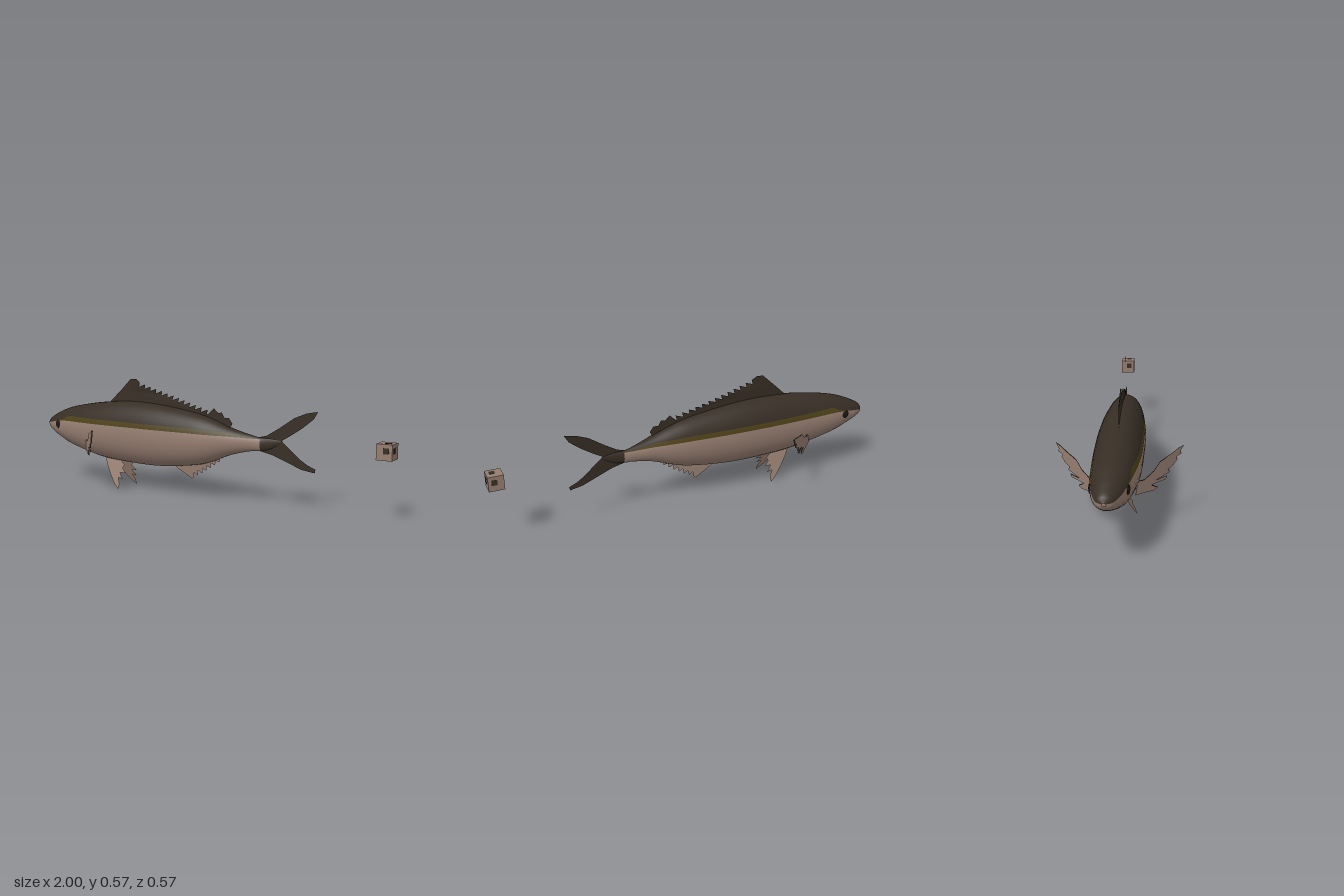
import * as THREE from 'three';

const paint = (name, color) => new THREE.MeshStandardMaterial({ name, color, side: THREE.DoubleSide });

// Body stations: x, top, bottom, half width, sideways shift
const STATIONS = [
  [-1, 0.312, 0.3, 0.008, -0.025], [-0.985, 0.335, 0.278, 0.034, -0.023],
  [-0.95, 0.355, 0.257, 0.054, -0.02], [-0.9, 0.378, 0.234, 0.07, -0.016],
  [-0.8, 0.41, 0.196, 0.09, -0.01], [-0.6, 0.444, 0.152, 0.106, -0.002],
  [-0.4, 0.459, 0.138, 0.109, 0], [-0.2, 0.45, 0.139, 0.106, 0.003],
  [0, 0.423, 0.164, 0.09, 0.003], [0.1, 0.398, 0.193, 0.073, 0],
  [0.2, 0.362, 0.233, 0.049, -0.008], [0.3, 0.335, 0.258, 0.024, -0.02],
  [0.35, 0.326, 0.263, 0.015, -0.024], [0.4, 0.325, 0.275, 0.009, -0.027],
  [0.46, 0.318, 0.308, 0.002, -0.03],
];
// Colour boundaries along the flank: x, lower edge, upper edge of the stripe
const EDGES = [[-1, 0.307, 0.307], [-0.9, 0.326, 0.326], [-0.83, 0.335, 0.343], [-0.79, 0.337, 0.364],
  [-0.3, 0.336, 0.36], [0, 0.333, 0.356], [0.2, 0.326, 0.342], [0.31, 0.32, 0.322], [0.5, 0.315, 0.315]];

function edgeAt(x, k) {
  let i = 0;
  while (i < EDGES.length - 2 && EDGES[i + 1][0] < x) i++;
  const a = EDGES[i], b = EDGES[i + 1];
  return THREE.MathUtils.lerp(a[k], b[k], (x - a[0]) / (b[0] - a[0]));
}

// Smooth oval loft whose columns follow the colour boundaries
function bodyGeometry() {
  const heights = new THREE.CatmullRomCurve3(STATIONS.map(s => new THREE.Vector3(s[0], s[1], s[2])));
  const widths = new THREE.CatmullRomCurve3(STATIONS.map(s => new THREE.Vector3(s[0], s[3], s[4])));
  heights.curveType = widths.curveType = 'catmullrom';
  const rows = (STATIONS.length - 1) * 6, back = 14, belly = 18, cols = back + belly + 2;
  const pos = [], xs = [], lists = [[], [], []];
  for (let i = 0; i <= rows; i++) {
    const { x, y: top, z: bottom } = heights.getPoint(i / rows);
    const side = widths.getPoint(i / rows);
    const cy = (top + bottom) / 2, h = Math.max((top - bottom) / 2, 0.002);
    const angle = y => Math.asin(THREE.MathUtils.clamp((y - cy) / h, -0.95, 0.95));
    const lo = angle(edgeAt(x, 1)), up = angle(edgeAt(x, 2));
    xs.push(x);
    for (let j = 0; j < cols; j++) {
      const a = j <= back ? up + (Math.PI - 2 * up) * j / back
        : Math.PI - lo + (Math.PI + 2 * lo) * (j - back - 1) / belly;
      pos.push(x, cy + h * Math.sin(a), side.z + Math.max(side.y, 0.002) * Math.cos(a));
    }
  }
  for (let i = 0; i < rows; i++) for (let j = 0; j < cols; j++) {
    const a = i * cols + j, b = i * cols + (j + 1) % cols, c = a + cols, d = b + cols;
    const stripe = j === back || j === cols - 1;
    const m = xs[i] > 0.345 || j < back ? 0 : stripe ? 1 : 2;
    lists[m].push(a, c, b, b, c, d);
  }
  const g = new THREE.BufferGeometry();
  g.setAttribute('position', new THREE.Float32BufferAttribute(pos, 3));
  g.setIndex(lists.flat());
  let start = 0;
  lists.forEach((l, m) => { g.addGroup(start, l.length, m); start += l.length; });
  g.computeVertexNormals();
  return g;
}

// Thin fin: a flat outline placed in space by a rule (u, v) -> [x, y, z]
function fin(name, points, material, place) {
  const g = new THREE.ShapeGeometry(new THREE.Shape(points.map(p => new THREE.Vector2(...p))));
  const p = g.attributes.position;
  for (let i = 0; i < p.count; i++) p.setXYZ(i, ...place(p.getX(i), p.getY(i)));
  g.computeVertexNormals();
  const mesh = new THREE.Mesh(g, material);
  mesh.name = name;
  return mesh;
}

// Ragged edge: spines leaning backwards between two points
function spines(from, to, count, depth) {
  const out = [];
  for (let i = 0; i < count; i++) {
    const at = t => [from[0] + (to[0] - from[0]) * t, from[1] + (to[1] - from[1]) * t];
    const tip = at((i + 0.6) / count), notch = at((i + 0.7) / count);
    out.push(tip, [notch[0] - 0.008, notch[1] - depth]);
  }
  return out;
}

export function createModel() {
  const model = new THREE.Group();
  const dark = paint('dark back', 0x372e25);
  const olive = paint('olive stripe', 0x4d4118);
  const pale = paint('pale belly', 0x957d70);
  const black = paint('eye black', 0x1d1814);

  const body = new THREE.Mesh(bodyGeometry(), [dark, olive, pale]);
  body.name = 'body';
  model.add(body);

  // Forked tail, leaning slightly to one side
  model.add(fin('tailFin', [[0.33, 0.325], [0.38, 0.338], [0.44, 0.375], [0.52, 0.43], [0.58, 0.455], [0.635, 0.465],
    [0.615, 0.43], [0.56, 0.385], [0.5, 0.345], [0.455, 0.318], [0.5, 0.282], [0.55, 0.24], [0.59, 0.215],
    [0.628, 0.2], [0.625, 0.182], [0.56, 0.192], [0.48, 0.222], [0.41, 0.248], [0.33, 0.265]],
  dark, (x, y) => [x, y, -0.023 - 0.045 * (x - 0.35)]));

  // Back fins
  model.add(fin('dorsalFin', [[-0.56, 0.43], [-0.54, 0.455], [-0.48, 0.51], [-0.41, 0.574], [-0.375, 0.576],
    ...spines([-0.37, 0.565], [0.08, 0.44], 13, 0.022), [0.08, 0.395], [0, 0.405], [-0.2, 0.43]],
  dark, (x, y) => [x, y, 0.004 * Math.sin(y * 60)]));
  model.add(fin('rearDorsalFin', [[0.03, 0.4], [0.07, 0.425], [0.1, 0.452], [0.125, 0.43], [0.145, 0.435],
    [0.16, 0.41], [0.185, 0.41], [0.205, 0.385], [0.19, 0.36], [0.12, 0.37]],
  dark, (x, y) => [x, y, -0.002]));

  // Ragged fin under the rear belly
  model.add(fin('analFin', [[-0.15, 0.16], [-0.12, 0.135], [-0.075, 0.11], [-0.035, 0.088], [-0.025, 0.098],
    [-0.02, 0.122], [0, 0.108], [0.005, 0.135], [0.028, 0.122], [0.032, 0.15], [0.055, 0.138], [0.058, 0.165],
    [0.082, 0.155], [0.085, 0.18], [0.108, 0.172], [0.11, 0.195], [0.135, 0.19], [0.14, 0.225], [0, 0.185]],
  pale, (x, y) => [x, y, -0.004 - 0.12 * (0.16 - y)]));

  const pelvic = [[-0.57, 0.158], [-0.54, 0.11], [-0.51, 0.07], [-0.475, 0.03], [-0.44, 0.002], [-0.438, 0.03],
    [-0.455, 0.06], [-0.425, 0.055], [-0.45, 0.085], [-0.415, 0.085], [-0.44, 0.11], [-0.43, 0.125], [-0.47, 0.155]];
  const pectoral = [[0.09, 0.25], [0.115, 0.245], [0.155, 0.268], [0.18, 0.3], [0.225, 0.315], [0.26, 0.33],
    [0.283, 0.335], [0.268, 0.315], [0.272, 0.3], [0.25, 0.295], [0.255, 0.28], [0.238, 0.262], [0.215, 0.25],
    [0.222, 0.235], [0.165, 0.222], [0.212, 0.22], [0.205, 0.208], [0.145, 0.208], [0.172, 0.185], [0.155, 0.178],
    [0.115, 0.186], [0.08, 0.19]];
  for (const s of [1, -1]) {
    const side = s > 0 ? 'left' : 'right';
    model.add(fin(side + 'PelvicFin', pelvic, pale,
      (x, y) => [x, y, s * (0.025 + 0.37 * (0.15 - y))]));
    // Side fins: pale outside, dark inside
    const spread = gap => (u, y) => [-0.645 + 1.1 * (u - 0.09) + gap, y, s * u];
    model.add(fin(side + 'PectoralFinOuter', pectoral, pale, spread(0)));
    model.add(fin(side + 'PectoralFinInner', pectoral, dark, spread(0.006)));

    const eye = new THREE.Mesh(new THREE.SphereGeometry(0.021, 20, 12), black);
    eye.name = side + 'Eye';
    eye.scale.z = 0.25;
    eye.position.set(-0.87, 0.312, -0.014 + s * 0.076);
    eye.rotation.y = -s * 0.2;
    model.add(eye);
  }

  // Small separate cube with a dark patch on every face
  const cube = new THREE.Group();
  cube.name = 'smallCube';
  cube.position.set(0.963, 0.315, -0.035);
  const block = new THREE.Mesh(new THREE.BoxGeometry(0.072, 0.072, 0.072), pale);
  block.name = 'cubeBlock';
  cube.add(block);
  for (const axis of ['x', 'y', 'z']) for (const s of [1, -1]) {
    const patch = new THREE.Mesh(new THREE.BoxGeometry(0.026, 0.026, 0.026), dark);
    patch.name = 'cubePatch';
    patch.scale[axis] = 0.08;
    patch.position.set(0.008, 0.006, 0.006);
    patch.position[axis] = s * 0.036;
    cube.add(patch);
  }
  model.add(cube);
  return model;
}
